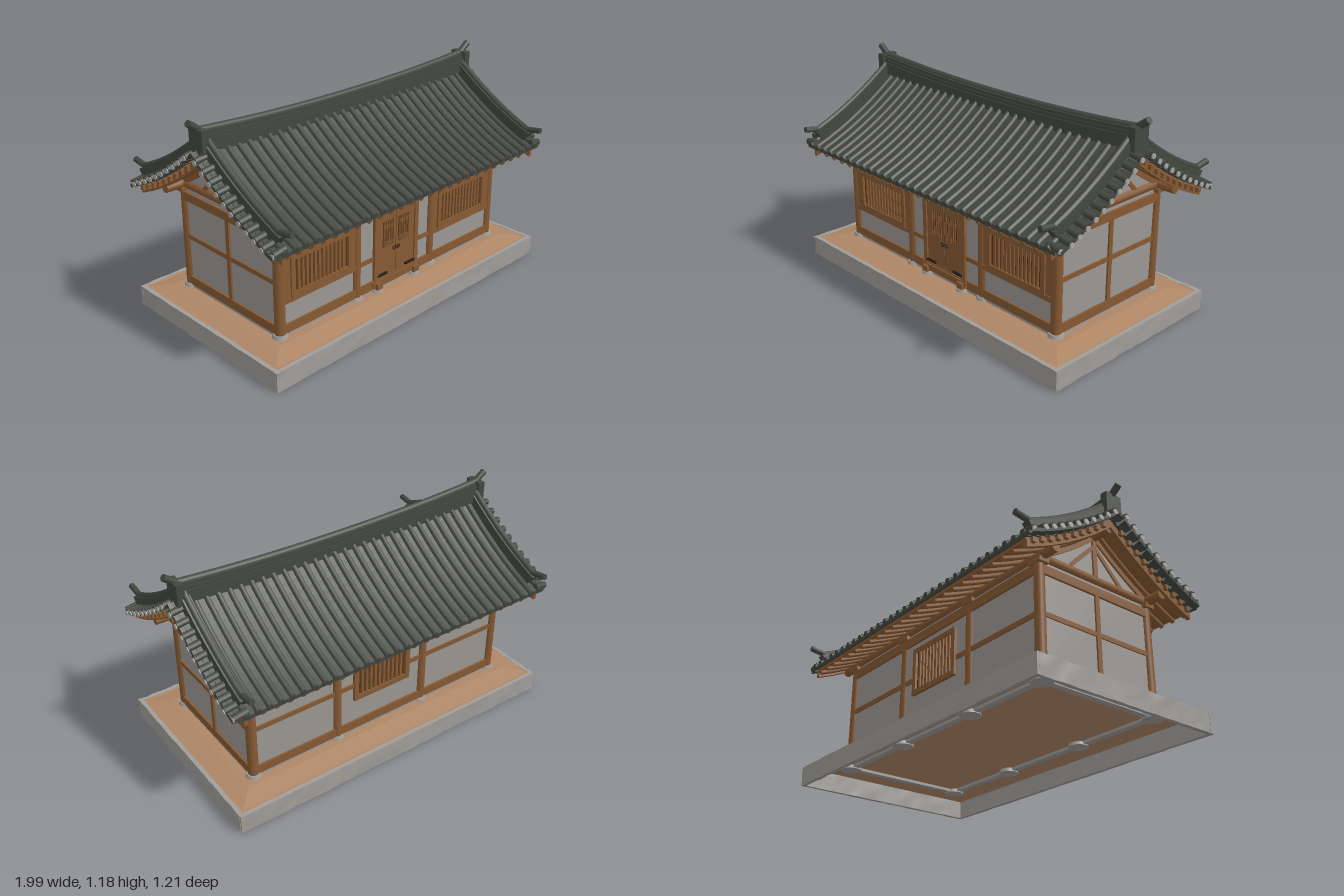
import * as THREE from 'three';

const mat = (name, color) => {
  const m = new THREE.MeshStandardMaterial({ color });
  m.name = name;
  return m;
};

// Roof slope: height of the tile bed at depth z
const roofY = z => 1.02 - 0.8 * Math.abs(z) + 0.38 * z * z;

// Repeatable noise in 0..1 from a position
const noise = (x, y, z) => {
  const n = Math.sin(Math.round(x * 500) * 12.99 + Math.round(y * 500) * 78.23 + Math.round(z * 500) * 37.72) * 4375.85;
  return n - Math.floor(n);
};

export function createModel() {
  const root = new THREE.Group();
  const M = {
    tile: mat('roofTile', 0x444740),
    wood: mat('timber', 0x865933),
    dark: mat('darkTimber', 0x553618),
    plaster: mat('plaster', 0x9b9793),
    stone: mat('stone', 0xa09d99),
    earth: mat('earthFloor', 0xae8666),
    pale: mat('tileMortar', 0xa3a5a1),
    iron: mat('iron', 0x26231f),
  };
  const group = name => {
    const g = new THREE.Group();
    g.name = name;
    root.add(g);
    return g;
  };
  const add = (g, name, geo, m) => {
    const mesh = new THREE.Mesh(geo, m);
    mesh.name = name;
    g.add(mesh);
    return mesh;
  };
  const box = (g, name, m, x0, x1, y0, y1, z0, z1) =>
    add(g, name, new THREE.BoxGeometry(Math.abs(x1 - x0), y1 - y0, Math.abs(z1 - z0)), m)
      .position.set((x0 + x1) / 2, (y0 + y1) / 2, (z0 + z1) / 2);
  // Round bar between two points
  const bar = (g, name, m, a, b, r, sides = 10, r2 = r) => {
    const p = new THREE.Vector3(...a), d = new THREE.Vector3(...b).sub(p);
    const mesh = add(g, name, new THREE.CylinderGeometry(r2, r, d.length(), sides), m);
    mesh.position.copy(p).addScaledVector(d, 0.5);
    mesh.quaternion.setFromUnitVectors(new THREE.Vector3(0, 1, 0), d.normalize());
  };
  // Polygon in (z, y), extruded along x from x0 to x1
  const slab = (g, name, m, pts, x0, x1) => {
    const shape = new THREE.Shape(pts.map(p => new THREE.Vector2(...p)));
    const geo = new THREE.ExtrudeGeometry(shape, { depth: x1 - x0, bevelEnabled: false });
    geo.rotateY(-Math.PI / 2).translate(x1, 0, 0);
    add(g, name, geo, m);
  };
  // Points parallel to the roof slope
  const slope = (z0, z1, off, n = 12) =>
    Array.from({ length: n + 1 }, (_, i) => {
      const z = z0 + (z1 - z0) * i / n;
      return [z, roofY(z) + off];
    });
  const band = (z0, z1, lo, hi, n) => [...slope(z0, z1, lo, n), ...slope(z1, z0, hi, n)];
  const slopeTube = (g, name, m, x, z0, z1, off, r) => {
    const path = new THREE.CatmullRomCurve3(slope(z0, z1, off, 6).map(([z, y]) => new THREE.Vector3(x, y, z)));
    add(g, name, new THREE.TubeGeometry(path, 8, r, 8), m);
  };

  // Stone plinth, hollow below, with a rough surface
  const plinth = group('plinth');
  const rough = (x0, x1, z0, z1) => {
    const w = x1 - x0, d = z1 - z0;
    const geo = new THREE.BoxGeometry(w, 0.107, d, Math.ceil(w / 0.045), 3, Math.ceil(d / 0.045));
    geo.translate((x0 + x1) / 2, 0.0535, (z0 + z1) / 2);
    const p = geo.attributes.position;
    for (let i = 0; i < p.count; i++) {
      const x = p.getX(i), y = p.getY(i), z = p.getZ(i), n = 0.006 * noise(x, y, z);
      p.setXYZ(i, x - Math.sign(x) * n, y > 0.1 ? y - n * 0.4 : y, z - Math.sign(z) * n);
    }
    geo.computeVertexNormals();
    add(plinth, 'plinthStone', geo, M.stone);
  };
  for (const s of [-1, 1]) {
    rough(-0.982, 0.982, s * 0.547 - 0.011, s * 0.547 + 0.011);
    rough(s * 0.971 - 0.011, s * 0.971 + 0.011, -0.545, 0.545);
  }
  const floor = new THREE.BoxGeometry(1.935, 0.026, 1.075);
  const fp = floor.attributes.position;
  for (let i = 0; i < fp.count; i++) if (fp.getY(i) > 0) fp.setXYZ(i, fp.getX(i) * 0.88, 0.011, fp.getZ(i) * 0.78);
  floor.computeVertexNormals();
  add(plinth, 'earthFloor', floor, M.earth).position.y = 0.113;
  box(plinth, 'earthEdge', M.earth, -0.965, 0.965, 0.1, 0.104, -0.54, 0.54);

  // Columns on footing stones, with sill stones between
  const frame = group('frame');
  const X = 0.785, Z = 0.355;
  for (const s of [-1, 1]) {
    for (const x of [-X, -0.28, 0.28, X]) {
      bar(frame, 'footing', M.stone, [x, 0.08, s * Z], [x, 0.142, s * Z], 0.056, 10, 0.036);
      bar(frame, 'column', M.wood, [x, 0.14, s * Z], [x, 0.7, s * Z], 0.028, 16, 0.026);
      box(frame, 'bracket', M.wood, x - 0.04, x + 0.04, 0.672, 0.695, s * Z - 0.03, s * Z + 0.03);
    }
    box(frame, 'sillStone', M.stone, -X, X, 0.085, 0.142, s * Z - 0.018, s * Z + 0.018);
    box(frame, 'sillStone', M.stone, s * X - 0.018, s * X + 0.018, 0.085, 0.142, -Z, Z);
    bar(frame, 'eavePurlin', M.wood, [-0.905, 0.712, s * Z], [0.905, 0.712, s * Z], 0.025, 12);
    box(frame, 'lintel', M.wood, -X, X, 0.622, 0.672, s * Z - 0.022, s * Z + 0.022);
    box(frame, 'sill', M.wood, -X, X, 0.14, 0.188, s * Z - 0.022, s * Z + 0.022);
    box(frame, 'wallPlaster', M.plaster, -X, X, 0.14, 0.7, s * Z - 0.01, s * Z + 0.01);
  }
  bar(frame, 'ridgePurlin', M.wood, [-0.905, 0.955, 0], [0.905, 0.955, 0], 0.025, 12);

  // Gable walls with roof truss
  const gables = group('gables');
  for (const s of [-1, 1]) {
    const x = s * X;
    slab(gables, 'gablePlaster', M.plaster, [[-Z, 0.14], [Z, 0.14], ...slope(Z, -Z, -0.03)], x - 0.01, x + 0.01);
    for (const [y0, y1, t] of [[0.14, 0.188, 0.022], [0.405, 0.43, 0.017], [0.622, 0.668, 0.022]])
      box(gables, 'rail', M.wood, x - t, x + t, y0, y1, -Z, Z);
    box(gables, 'post', M.wood, x - 0.02, x + 0.02, 0.188, 0.622, -0.013, 0.013);
    bar(gables, 'tieBeam', M.wood, [x, 0.712, -Z], [x, 0.712, Z], 0.026, 12);
    box(gables, 'kingPost', M.wood, x - 0.02, x + 0.02, 0.73, 0.96, -0.014, 0.014);
    for (const k of [-1, 1]) {
      const strut = [[0.185, 0.73], [0.155, 0.73], [0, 0.885], [0, 0.915]].map(([z, y]) => [z * k, y]);
      slab(gables, 'strut', M.wood, strut, x - 0.018, x + 0.018);
      slab(gables, 'principalRafter', M.wood, band(0, k * Z, -0.085, -0.035), x - 0.02, x + 0.02);
    }
  }

  // Barred windows: two wide ones in front, one at the back
  const windows = group('windows');
  const barredWindow = (x0, x1, y0, y1, s) => {
    const z = s * Z, out = d => z + s * d, t = 0.026;
    box(windows, 'windowBacking', M.dark, x0, x1, y0, y1, out(0), out(0.013));
    for (const [a, b, c, d] of [[x0, x1, y0, y0 + t], [x0, x1, y1 - t, y1], [x0, x0 + t, y0, y1], [x1 - t, x1, y0, y1]])
      box(windows, 'windowFrame', M.wood, a, b, c, d, out(0), out(0.027));
    const n = Math.round((x1 - x0 - 2 * t) / 0.027);
    for (let i = 1; i < n; i++) {
      const x = x0 + t + (x1 - x0 - 2 * t) * i / n;
      box(windows, 'windowBar', M.wood, x - 0.007, x + 0.007, y0 + t, y1 - t, out(0.008), out(0.022));
    }
  };
  for (const s of [-1, 1]) {
    const a = s * 0.527;
    barredWindow(a - 0.2, a + 0.2, 0.322, 0.545, 1);
    for (const [y0, y1] of [[0.3, 0.328], [0.538, 0.566]])
      box(windows, 'windowRail', M.wood, s * 0.29, s * 0.77, y0, y1, Z, Z + 0.022);
    for (const x of [0.31, 0.748])
      box(windows, 'windowStile', M.wood, s * (x - 0.022), s * (x + 0.022), 0.328, 0.538, Z, Z + 0.018);
    box(windows, 'backRail', M.wood, s * 0.28, s * X, 0.405, 0.43, -Z, -Z - 0.018);
    box(windows, 'backSideRail', M.wood, s * 0.17, s * 0.28, 0.405, 0.43, -Z, -Z - 0.018);
  }
  barredWindow(-0.18, 0.18, 0.325, 0.585, -1);

  // Double door with lattice lights, hinges and ring pulls
  const door = group('door');
  box(door, 'doorHeader', M.wood, -0.175, 0.175, 0.588, 0.625, Z, Z + 0.028);
  box(door, 'threshold', M.wood, -0.175, 0.175, 0.145, 0.18, Z, Z + 0.03);
  for (const s of [-1, 1]) {
    box(door, 'jamb', M.wood, s * 0.138, s * 0.165, 0.17, 0.6, Z, Z + 0.026);
    box(door, 'leaf', M.wood, s * 0.002, s * 0.138, 0.18, 0.588, Z, Z + 0.018);
    box(door, 'leafGap', M.dark, 0, s * 0.003, 0.18, 0.588, Z, Z + 0.016);
    box(door, 'light', M.dark, s * 0.015, s * 0.1, 0.36, 0.5, Z + 0.014, Z + 0.02);
    for (let i = 0; i < 5; i++) {
      const x = s * (0.022 + i * 0.0175);
      box(door, 'latticeBar', M.wood, x - 0.003, x + 0.003, 0.36, 0.5, Z + 0.018, Z + 0.025);
    }
    for (const y of [0.372, 0.384, 0.465, 0.477])
      box(door, 'latticeRail', M.wood, s * 0.015, s * 0.1, y - 0.002, y + 0.002, Z + 0.018, Z + 0.024);
    for (const y of [0.205, 0.568])
      box(door, 'hinge', M.iron, s * 0.07, s * 0.142, y - 0.006, y + 0.006, Z + 0.014, Z + 0.028);
    add(door, 'ringPull', new THREE.TorusGeometry(0.01, 0.003, 6, 12), M.iron).position.set(s * 0.014, 0.33, Z + 0.021);
    box(door, 'sideRail', M.wood, s * 0.165, s * 0.28, 0.302, 0.326, Z, Z + 0.018);
    box(door, 'doorBlock', M.wood, s * 0.12, s * 0.16, 0.135, 0.172, Z, Z + 0.045);
    bar(door, 'doorStone', M.stone, [s * 0.14, 0.105, Z + 0.02], [s * 0.14, 0.138, Z + 0.02], 0.042, 9, 0.032);
  }

  // Roof bed, sheathing, rafters and tile rows
  const roof = group('roof');
  slab(roof, 'tileBed', M.tile, band(-0.562, 0.562, -0.014, 0.006, 24), -0.955, 0.955);
  slab(roof, 'sheathing', M.wood, band(-0.545, 0.545, -0.032, -0.014, 24), -0.91, 0.91);
  const e = 0.535;
  for (const s of [-1, 1]) {
    for (let i = 0; i < 25; i++) {
      const x = -0.888 + i * 0.074;
      slopeTube(roof, 'rafter', M.wood, x, s * 0.02, s * e, -0.042, 0.013);
      bar(roof, 'rafterEnd', M.wood, [x, roofY(e) - 0.042, s * e], [x, roofY(e) - 0.045, s * (e + 0.006)], 0.013, 8);
    }
    for (let i = 0; i < 31; i++) {
      const x = -0.915 + i * 0.061, y = roofY(0.56) + 0.006;
      slopeTube(roof, 'tileRow', M.tile, x, s * 0.01, s * 0.56, 0.011, 0.015);
      bar(roof, 'tileCap', M.tile, [x, y, s * 0.555], [x, y - 0.003, s * 0.568], 0.017, 10);
    }
    // Gable edge: bargeboard, short rafters and sideways tiles
    const b = s * 0.908;
    slab(roof, 'bargeboard', M.wood, band(-0.545, 0.545, -0.066, -0.025, 24), b - 0.011, b + 0.011);
    for (const k of [-1, 1]) for (let i = 0; i < 11; i++) {
      const z = k * (0.04 + i * 0.0505), y = roofY(z), end = s * (i < 10 ? 0.99 : 0.972);
      bar(roof, 'vergeTile', M.tile, [s * 0.9, y + 0.016, z], [end, y + 0.004, z], 0.018);
      bar(roof, 'vergeMortar', M.pale, [s * 0.93, y - 0.004, z], [end + s * 0.006, y - 0.001, z], 0.014, 8);
      if (i === 10) continue;
      const zr = z + k * 0.02, yr = roofY(zr) - 0.036;
      box(roof, 'vergeRafter', M.wood, s * 0.89, s * 0.938, yr - 0.013, yr + 0.013, zr - 0.01, zr + 0.01);
    }
    slab(roof, 'vergeBed', M.tile, band(-0.55, 0.55, -0.018, 0.002, 24), s * 0.96 - 0.02, s * 0.96 + 0.02);
  }

  // Main ridge, sagging in the middle with upturned horns
  const ridge = group('ridge');
  const lift = x => 0.035 * Math.pow(Math.abs(x) / 0.93, 2.2);
  for (const [w, y0, y1] of [[0.08, 0.985, 1.05], [0.068, 1.05, 1.068], [0.058, 1.066, 1.085]]) {
    const geo = new THREE.BoxGeometry(1.88, y1 - y0, w, 24, 1, 1).translate(0, (y0 + y1) / 2, 0);
    const p = geo.attributes.position;
    for (let i = 0; i < p.count; i++) p.setY(i, p.getY(i) + lift(p.getX(i)));
    geo.computeVertexNormals();
    add(ridge, 'ridgeCourse', geo, M.tile);
  }
  const crest = [];
  for (let i = -8; i <= 8; i++) crest.push(new THREE.Vector3(i * 0.115, 1.085 + lift(i * 0.115), 0));
  add(ridge, 'ridgeCrest', new THREE.TubeGeometry(new THREE.CatmullRomCurve3(crest), 32, 0.018, 10), M.tile);
  for (const s of [-1, 1]) {
    box(ridge, 'ridgeEnd', M.tile, s * 0.91, s * 0.95, 1.0, 1.128, -0.05, 0.05);
    bar(ridge, 'ridgeHorn', M.tile, [s * 0.92, 1.117, 0], [s * 0.987, 1.165, 0], 0.018);

    // Descending ridges down both slopes
    for (const k of [-1, 1]) {
      const x = s * 0.905;
      const body = [...slope(0.02, 0.5, 0), ...slope(0.54, 0.02, 0.07)].map(([z, y]) => [z * k, y]);
      slab(ridge, 'descendingRidge', M.tile, body, x - 0.023, x + 0.023);
      slopeTube(ridge, 'descendingCrest', M.tile, x, k * 0.03, k * 0.525, 0.077, 0.016);
      bar(ridge, 'descendingHorn', M.tile, [x, roofY(0.52) + 0.077, k * 0.515], [x, 0.797, k * 0.602], 0.016);
    }
  }
  return root;
}
